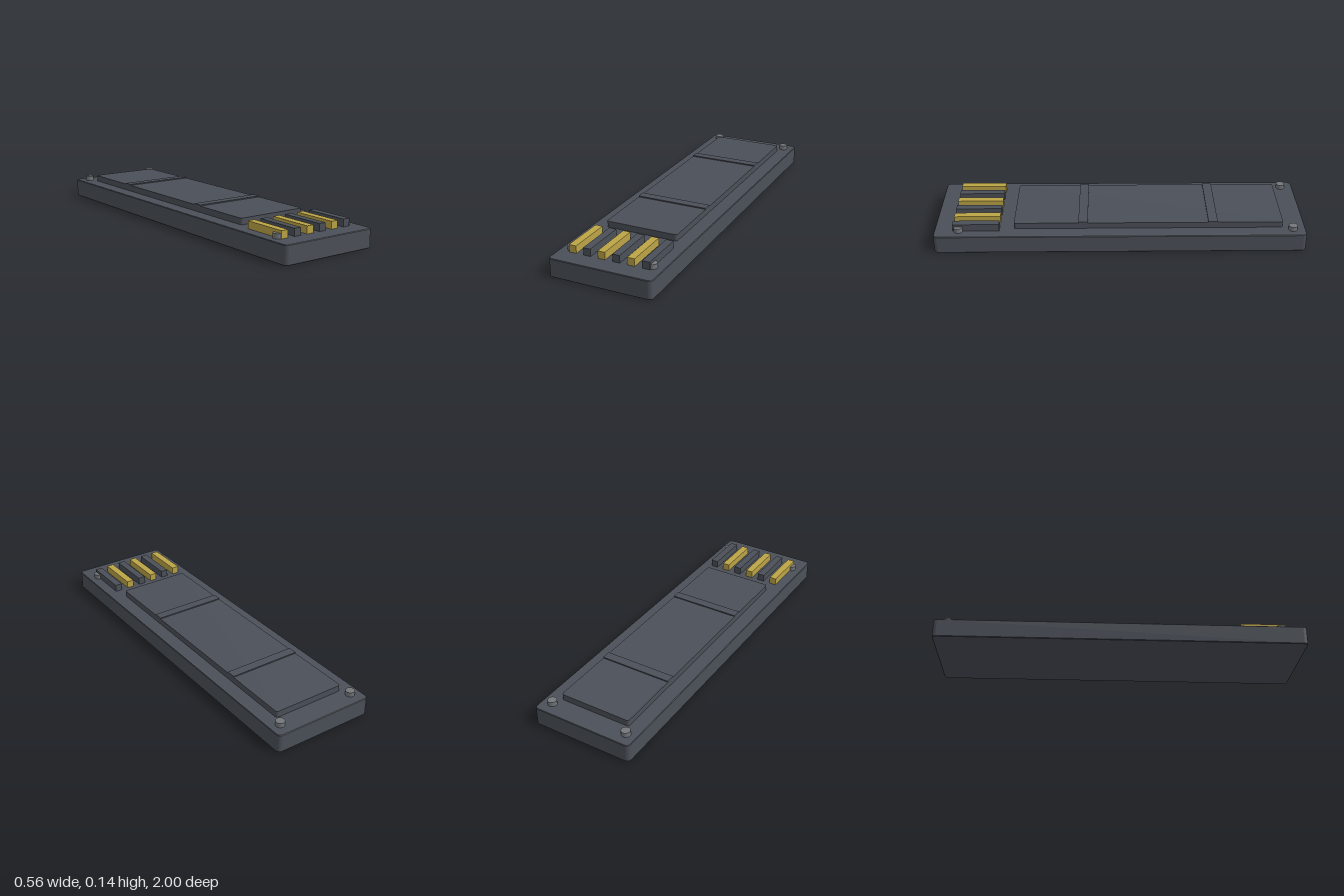
import * as THREE from 'three';

const material = (name, color) => Object.assign(new THREE.MeshStandardMaterial({ color }), { name });

// Rounded rectangle slab lying flat, from y0 to y1, centred on z
function slab(width, length, radius, y0, y1, z, bevel) {
  const w = width / 2 - bevel, l = length / 2 - bevel, r = radius;
  const s = new THREE.Shape();
  s.moveTo(-w + r, -l);
  s.lineTo(w - r, -l);
  s.absarc(w - r, -l + r, r, -Math.PI / 2, 0);
  s.lineTo(w, l - r);
  s.absarc(w - r, l - r, r, 0, Math.PI / 2);
  s.lineTo(-w + r, l);
  s.absarc(-w + r, l - r, r, Math.PI / 2, Math.PI);
  s.lineTo(-w, -l + r);
  s.absarc(-w + r, -l + r, r, Math.PI, Math.PI * 1.5);
  const geometry = new THREE.ExtrudeGeometry(s, {
    depth: y1 - y0 - 2 * bevel, curveSegments: 5,
    bevelEnabled: bevel > 0, bevelSize: bevel, bevelThickness: bevel, bevelSegments: 1,
  });
  return geometry.rotateX(-Math.PI / 2).translate(0, y0 + bevel, z);
}

export function createModel() {
  const group = new THREE.Group();
  const casing = material('dark slate', 0x4b5058);
  const gold = material('gold', 0xbca446);
  const steel = material('pin grey', 0x74777b);

  const add = (name, geometry, mat, x = 0, y = 0, z = 0) => {
    const mesh = new THREE.Mesh(geometry, mat);
    mesh.name = name;
    mesh.position.set(x, y, z);
    group.add(mesh);
  };

  // Base and raised cover
  add('base', slab(0.56, 2, 0.02, 0, 0.1, 0, 0.003), casing);
  add('cover', slab(0.4, 1.45, 0.012, 0.1, 0.134, -0.153, 0), casing);

  // Low ridges across the cover
  for (const z of [0.2, -0.5]) {
    add('ridge', new THREE.BoxGeometry(0.4, 0.01, 0.05), casing, 0, 0.135, z);
  }

  // Row of contacts, every other one gold
  for (let i = 0; i < 6; i++) {
    add(i % 2 ? 'darkContact' : 'goldContact', new THREE.BoxGeometry(0.04, 0.04, 0.25),
      i % 2 ? casing : gold, -0.2 + i * 0.08, 0.12, 0.775);
  }

  // Corner pins
  for (const x of [-0.22, 0.22]) {
    for (const z of [-0.93, 0.87]) {
      add('cornerPin', new THREE.CylinderGeometry(0.024, 0.024, 0.025, 16), steel, x, 0.1125, z);
    }
  }
  return group;
}
